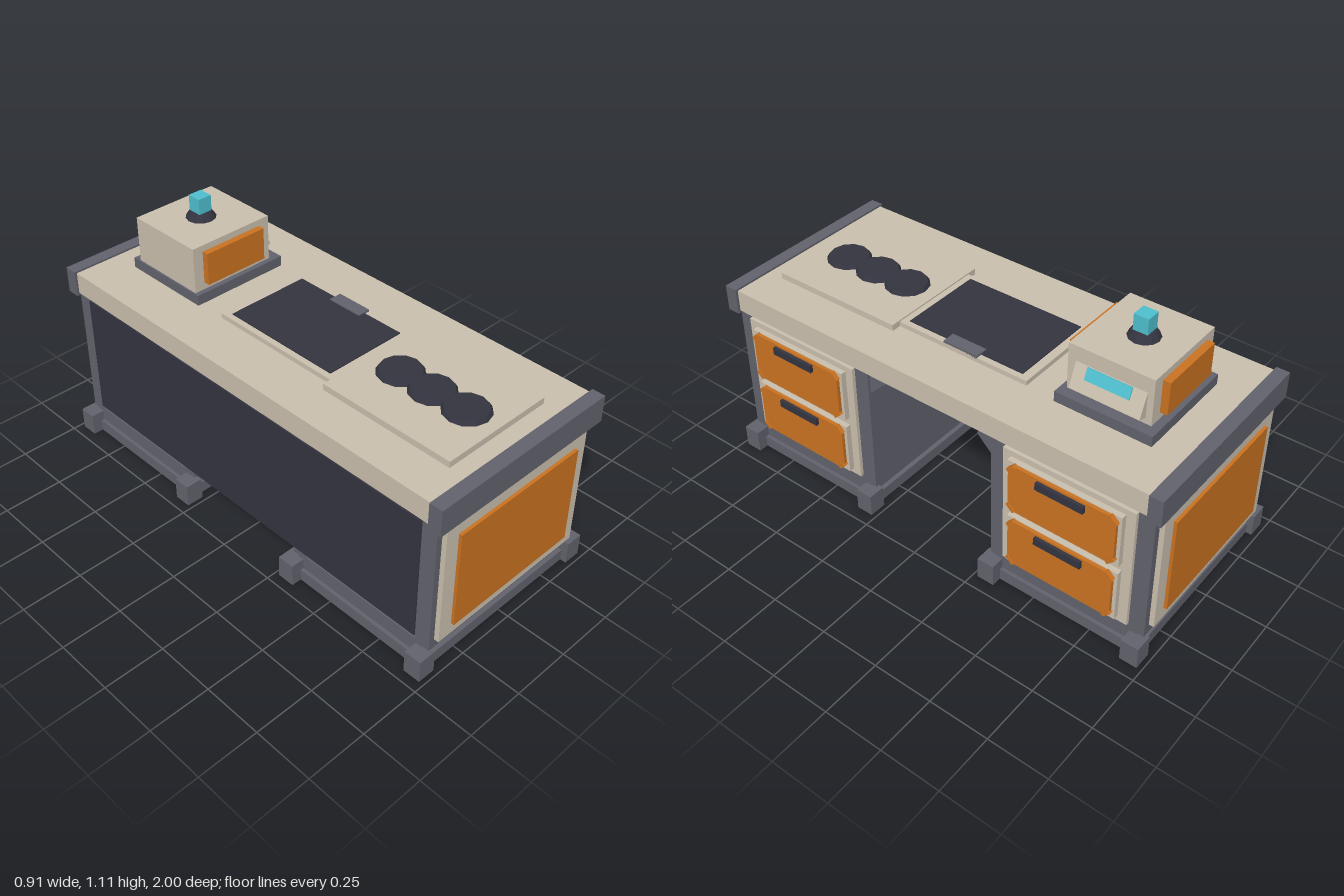
import * as THREE from 'three';

const mat = (name, color) => {
  const m = new THREE.MeshStandardMaterial({ color, flatShading: true });
  m.name = name;
  return m;
};

export function createModel() {
  const cream = mat('cream', 0xcabfae);
  const grey = mat('grey', 0x62626d);
  const dark = mat('dark', 0x343440);
  const orange = mat('orange', 0xca7221);
  const teal = mat('teal', 0x4fbfcf);

  const desk = new THREE.Group();
  desk.name = 'desk';

  const add = (name, geometry, material, parent = desk) => {
    const mesh = new THREE.Mesh(geometry, material);
    mesh.name = name;
    parent.add(mesh);
    return mesh;
  };
  // Box given by its lower and upper limits on each axis
  const box = (name, m, x0, x1, y0, y1, z0, z1, parent) => {
    const g = new THREE.BoxGeometry(x1 - x0, y1 - y0, Math.abs(z1 - z0));
    g.translate((x0 + x1) / 2, (y0 + y1) / 2, (z0 + z1) / 2);
    return add(name, g, m, parent);
  };
  // Prism with an outline in (x, y), running from z0 to z1
  const prism = (name, m, points, z0, z1, parent) => {
    const shape = new THREE.Shape(points.map(([x, y]) => new THREE.Vector2(x, y)));
    const g = new THREE.ExtrudeGeometry(shape, { depth: z1 - z0, bevelEnabled: false });
    g.translate(0, 0, z0);
    return add(name, g, m, parent);
  };

  // Worktop and back panel
  box('worktop', cream, -0.418, 0.41, 0.685, 0.777, -0.945, 0.945);
  box('backPanel', dark, -0.405, -0.38, 0.13, 0.662, -0.9, 0.9);

  for (const s of [1, -1]) {
    const side = new THREE.Group();
    side.name = s > 0 ? 'frontPedestal' : 'rearPedestal';
    desk.add(side);
    const part = (name, m, x0, x1, y0, y1, z0, z1) =>
      box(name, m, x0, x1, y0, y1, s * z0, s * z1, side);

    // Worktop end cap
    part('endCap', grey, -0.428, 0.42, 0.674, 0.785, 0.945, 1);

    // Stepped plinth with corner feet
    part('plinth', grey, -0.415, 0.405, 0, 0.05, 0.295, 0.955);
    part('plinthStep', grey, -0.4, 0.39, 0.05, 0.115, 0.315, 0.935);
    for (const x of [-0.458, 0.372])
      for (const z of [0.27, 0.907]) part('foot', grey, x, x + 0.075, 0, 0.095, z, z + 0.073);

    // Side walls with the drawer cabinet between them
    part('outerWall', grey, -0.4, 0.39, 0.1, 0.685, 0.9, 0.965);
    part('innerWall', grey, -0.4, 0.39, 0.1, 0.685, 0.29, 0.355);
    part('cabinet', cream, -0.38, 0.405, 0.13, 0.664, 0.355, 0.9);

    // Panel on the outer end
    part('endPanel', cream, -0.375, 0.362, 0.14, 0.655, 0.965, 0.985);
    part('endPanelInset', orange, -0.315, 0.305, 0.19, 0.607, 0.985, 0.998);

    // Drawers
    for (const y of [0.155, 0.415]) {
      part('drawerFrame', cream, 0.405, 0.428, y, y + 0.225, 0.39, 0.862);
      const w = 0.222, h = 0.105, c = 0.022;
      const outline = [[-w + c, -h], [w - c, -h], [w, -h + c], [w, h - c],
        [w - c, h], [-w + c, h], [-w, h - c], [-w, -h + c]];
      const front = prism('drawerFront', orange, outline, 0, 0.014, side);
      front.rotation.y = Math.PI / 2;
      front.position.set(0.428, y + 0.117, s * 0.626);
      for (const i of [-1, 1])
        for (const j of [-1, 1]) {
          const corner = add('drawerCorner', new THREE.BoxGeometry(0.018, 0.014, 0.04), orange, side);
          corner.position.set(0.437, y + 0.117 + j * (h - 0.013), s * 0.626 + i * (w - 0.013));
          corner.rotation.x = i * j * Math.PI / 4;
        }
      part('drawerHandle', dark, 0.436, 0.456, y + 0.182, y + 0.213, 0.527, 0.725);
    }

    // Brace in the top corner of the kneehole
    const brace = prism('brace', grey,
      [[0.29, 0.57], [0.29, 0.685], [0.245, 0.685], [0.22, 0.64]].map(([z, y]) => [-s * z, y]),
      0.29, 0.38, side);
    brace.rotation.y = Math.PI / 2;
  }

  // Plate with three round pads
  box('padPlate', cream, -0.25, 0.24, 0.777, 0.803, 0.29, 0.873);
  for (const z of [0.43, 0.58, 0.735]) {
    const pad = add('roundPad', new THREE.CylinderGeometry(0.082, 0.092, 0.016, 12), dark);
    pad.position.set(-0.005, 0.81, z);
  }

  // Writing mat with a clip
  box('matPlate', cream, -0.21, 0.2, 0.777, 0.797, -0.3, 0.29);
  box('mat', dark, -0.185, 0.175, 0.796, 0.801, -0.265, 0.26);
  box('matClip', grey, 0.145, 0.2, 0.79, 0.805, -0.078, 0.077);

  // Desktop console
  const unit = new THREE.Group();
  unit.name = 'console';
  desk.add(unit);
  box('consoleBase', grey, -0.22, 0.21, 0.777, 0.82, -0.823, -0.425, unit);
  box('consoleBody', cream, -0.213, 0.165, 0.82, 1.012, -0.79, -0.447, unit);
  box('consoleSidePanel', orange, -0.167, 0.117, 0.85, 0.985, -0.447, -0.42, unit);
  box('consoleSidePanel', orange, -0.167, 0.117, 0.85, 0.985, -0.82, -0.79, unit);
  prism('screenHousing', cream, [[0.16, 0.842], [0.204, 0.858], [0.165, 0.95], [0.16, 0.95]],
    -0.765, -0.48, unit);
  // Screen set on the sloping face
  const screen = add('screen', new THREE.BoxGeometry(0.006, 0.047, 0.18), teal, unit);
  screen.position.set(0.177, 0.926, -0.62);
  screen.rotation.z = Math.atan2(0.039, 0.092);

  // Beacon
  const collar = add('beaconCollar', new THREE.CylinderGeometry(0.043, 0.061, 0.028, 12), dark, unit);
  collar.position.set(-0.025, 1.026, -0.625);
  box('beaconLight', teal, -0.055, 0.005, 1.04, 1.105, -0.655, -0.595, unit);

  return desk;
}
